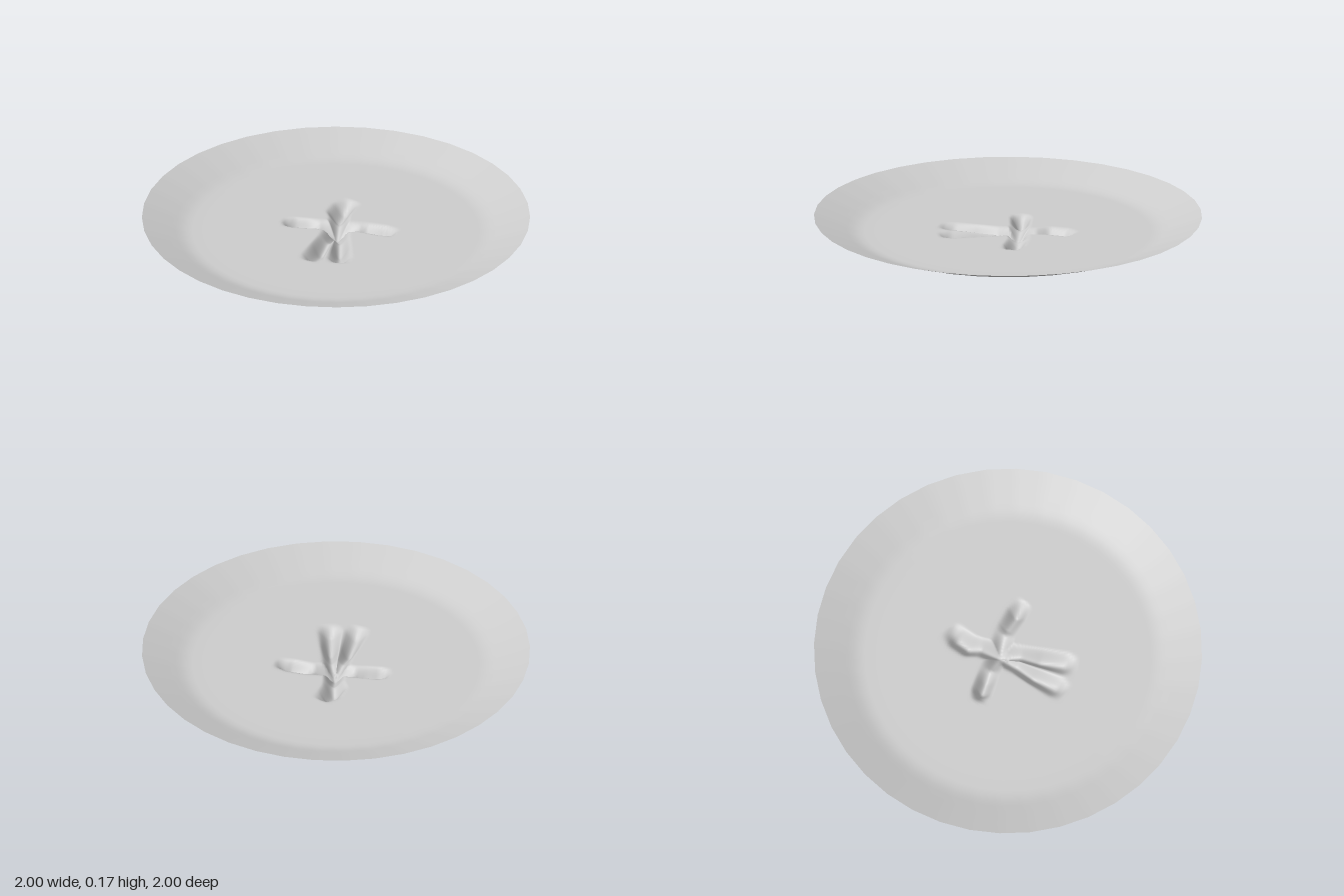
import * as THREE from 'three';

const SIDES = 40;      // straight edges round the rim
const SUB = 4;         // grid columns per rim edge
const FLOOR = 0.093;
const RIM = 0.172;

// Dents pressed into the floor: chains of [x, z, depth, half width]
const HUB = [0, -0.045, 0.09, 0.065];
const DENTS = [
  [HUB, [-0.1, -0.06, 0.03, 0.06], [-0.16, -0.06, 0.07, 0.06], [-0.22, -0.06, 0.082, 0.06], [-0.285, -0.06, 0, 0.05]],
  [HUB, [0.11, -0.06, 0.025, 0.06], [0.15, -0.055, 0.05, 0.06], [0.23, -0.04, 0.08, 0.06], [0.31, -0.02, 0, 0.05]],
  [HUB, [-0.005, -0.15, 0.05, 0.06], [-0.015, -0.21, 0.082, 0.07], [0, -0.27, 0.07, 0.07], [0.04, -0.34, 0, 0.06]],
  [HUB, [-0.03, 0.06, 0.05, 0.055], [-0.05, 0.16, 0.08, 0.06], [-0.07, 0.28, 0.055, 0.07], [-0.09, 0.35, 0, 0.06]],
  [HUB, [0.03, 0.06, 0.05, 0.055], [0.045, 0.16, 0.08, 0.06], [0.06, 0.28, 0.055, 0.07], [0.07, 0.35, 0, 0.06]],
];

function dentDepth(x, z) {
  let deepest = 0;
  for (const chain of DENTS) {
    for (let i = 0; i < chain.length - 1; i++) {
      const [ax, az, ad, aw] = chain[i];
      const [bx, bz, bd, bw] = chain[i + 1];
      const dx = bx - ax, dz = bz - az;
      const t = THREE.MathUtils.clamp(((x - ax) * dx + (z - az) * dz) / (dx * dx + dz * dz), 0, 1);
      const dist = Math.hypot(x - ax - t * dx, z - az - t * dz);
      const fall = 1 - THREE.MathUtils.smoothstep(dist, 0, aw + (bw - aw) * t);
      deepest = Math.max(deepest, (ad + (bd - ad) * t) * fall);
    }
  }
  return deepest;
}

// Flat floor that curves up into a sloping rim
function dishHeight(r) {
  const t = Math.max(0, (r - 0.74) / 0.26);
  const lift = t < 0.3 ? t * t / 0.6 : t - 0.15;
  return FLOOR + (RIM - FLOOR) * lift / 0.85;
}

function dishGeometry() {
  const radii = [];
  for (let r = 0; r < 0.42; r += 0.0125) radii.push(r);
  radii.push(0.5, 0.6, 0.68, 0.74, 0.77, 0.8, 0.83, 0.87, 0.91, 0.95, 1);
  const columns = SIDES * SUB;
  const step = 2 * Math.PI / SIDES;
  const positions = [0, FLOOR - dentDepth(0, 0), 0];
  const index = [];
  for (let i = 1; i < radii.length; i++) {
    for (let j = 0; j < columns; j++) {
      const a = j / columns * 2 * Math.PI;
      // Straight edges between the rim corners
      const local = (j % SUB) / SUB * step - step / 2;
      const r = radii[i] * Math.cos(step / 2) / Math.cos(local);
      const x = Math.sin(a) * r, z = Math.cos(a) * r;
      positions.push(x, dishHeight(radii[i]) - dentDepth(x, z), z);
    }
  }
  const at = (i, j) => 1 + (i - 1) * columns + j % columns;
  for (let j = 0; j < columns; j++) {
    index.push(0, at(1, j), at(1, j + 1));
    for (let i = 1; i < radii.length - 1; i++) {
      index.push(at(i, j), at(i + 1, j), at(i + 1, j + 1));
      index.push(at(i, j), at(i + 1, j + 1), at(i, j + 1));
    }
  }
  const geometry = new THREE.BufferGeometry();
  geometry.setAttribute('position', new THREE.Float32BufferAttribute(positions, 3));
  geometry.setIndex(index);
  geometry.computeVertexNormals();
  return geometry;
}

export function createModel() {
  const group = new THREE.Group();
  group.name = 'dentedDish';
  const grey = new THREE.MeshStandardMaterial({ color: 0xcccccc, side: THREE.DoubleSide });
  grey.name = 'light grey';
  const dish = new THREE.Mesh(dishGeometry(), grey);
  dish.name = 'dish';
  group.add(dish);
  return group;
}
